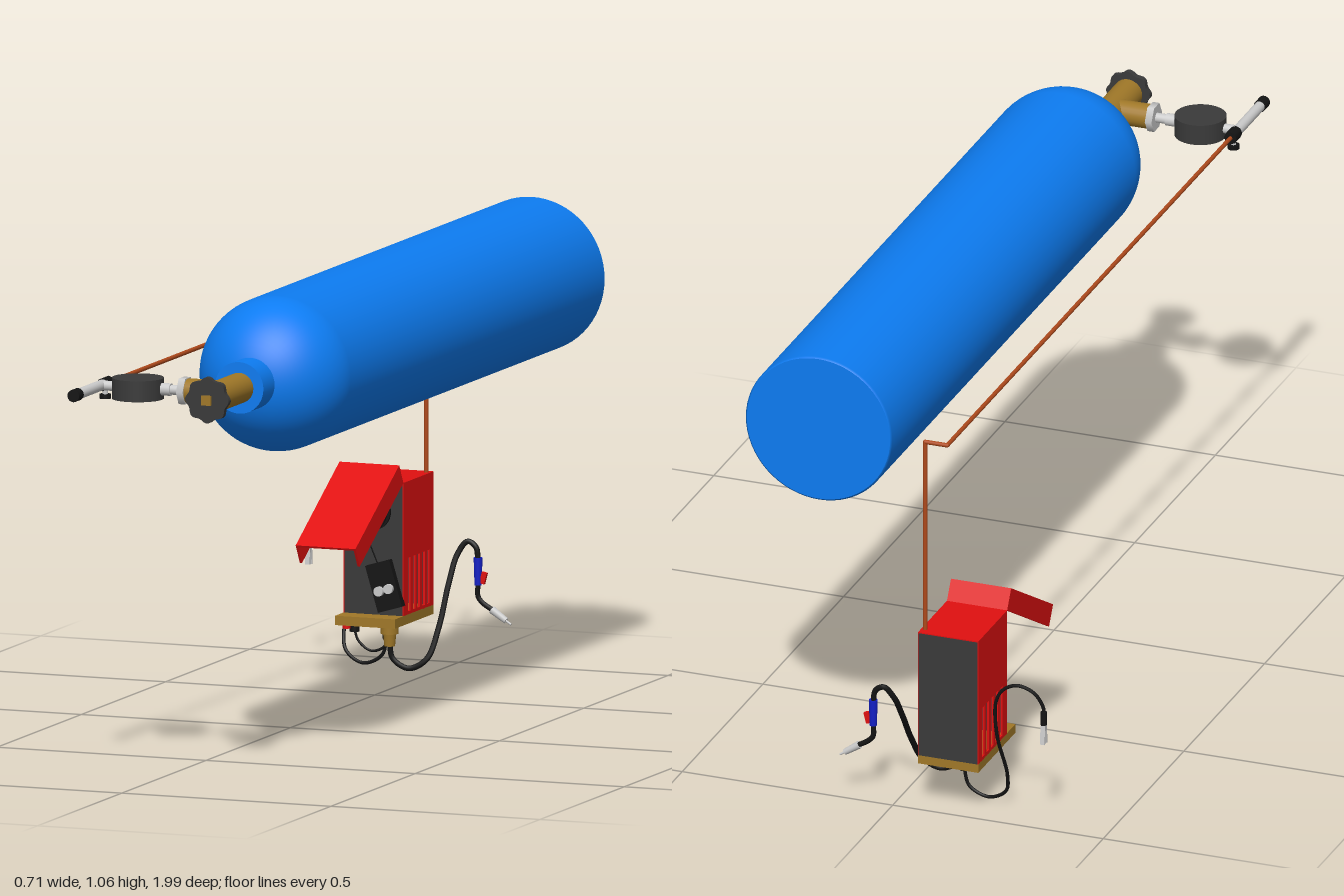
import * as THREE from 'three';

const mat = (color) => new THREE.MeshStandardMaterial({ color });
const M = {
  blue: mat(0x0d7cf2), red: mat(0xe01010), brass: mat(0xa07828), dark: mat(0x3a3a3a),
  black: mat(0x141414), grey: mat(0xcccccc), copper: mat(0xb04a1c), torch: mat(0x1420c8),
};
const V = (p) => new THREE.Vector3(...p);

export function createModel() {
  const model = new THREE.Group();

  const add = (name, geometry, material, pos = [0, 0, 0], parent = model) => {
    const mesh = new THREE.Mesh(geometry, material);
    mesh.name = name;
    mesh.position.set(...pos);
    parent.add(mesh);
    return mesh;
  };
  const box = (name, size, pos, material, parent) =>
    add(name, new THREE.BoxGeometry(...size), material, pos, parent);
  // round bar from a to b
  const rod = (name, a, b, r0, material, r1 = r0, sides = 24) => {
    const d = V(b).sub(V(a));
    const mesh = add(name, new THREE.CylinderGeometry(r1, r0, d.length(), sides), material,
      V(a).add(V(b)).multiplyScalar(0.5).toArray());
    mesh.quaternion.setFromUnitVectors(new THREE.Vector3(0, 1, 0), d.normalize());
    return mesh;
  };
  const hose = (name, pts, r, material, n = 100) =>
    add(name, new THREE.TubeGeometry(new THREE.CatmullRomCurve3(pts.map(V)), n, r, 8), material);

  // gas bottle, lying along z with a domed front
  const TX = 0.18, TY = 0.885;
  const profile = [[0, -0.99], [0.17, -0.99], [0.174, -0.986]].map((p) => new THREE.Vector2(...p));
  for (let i = 0; i <= 16; i++) {
    const a = (i / 16) * 1.3;
    profile.push(new THREE.Vector2(0.174 * Math.cos(a), 0.52 + 0.174 * Math.sin(a)));
  }
  profile.push(new THREE.Vector2(0, 0.69));
  const bottle = new THREE.Group();
  bottle.name = 'gasBottle';
  bottle.position.set(TX, TY, 0);
  model.add(bottle);
  // separate lathes keep the flat base and the round body crisp
  for (const [name, part] of [['bottleBase', profile.slice(0, 2)], ['bottleBody', profile.slice(1)]]) {
    add(name, new THREE.LatheGeometry(part, 64), M.blue, [0, 0, 0], bottle).rotation.x = Math.PI / 2;
  }
  rod('bottleNeck', [TX, TY, 0.66], [TX, TY, 0.75], 0.058, M.blue, 0.058, 40);

  // valve with a lobed handwheel
  rod('valveBody', [TX, TY, 0.74], [TX, TY, 0.93], 0.034, M.brass, 0.034, 32);
  rod('valveOutlet', [0.085, TY, 0.83], [TX, TY, 0.83], 0.028, M.brass);
  rod('valveNut', [0.074, TY, 0.83], [0.09, TY, 0.83], 0.033, M.grey, 0.033, 6);
  const wheel = new THREE.Shape();
  for (let i = 0; i <= 96; i++) {
    const a = (i / 96) * Math.PI * 2, r = 0.049 + 0.003 * Math.cos(8 * a);
    wheel[i ? 'lineTo' : 'moveTo'](r * Math.cos(a), r * Math.sin(a));
  }
  add('handwheel', new THREE.ExtrudeGeometry(wheel, { depth: 0.014, bevelEnabled: false }), M.dark, [TX, TY, 0.928]);
  box('handwheelSpindle', [0.022, 0.022, 0.012], [TX, TY, 0.942], M.brass);

  // regulator: stem, round gauge, outlet tee and flow tube
  rod('regulatorStem', [-0.11, TY, 0.83], [0.08, TY, 0.83], 0.011, M.grey);
  rod('regulatorCollar', [0.028, TY, 0.83], [0.05, TY, 0.83], 0.014, M.grey);
  rod('gauge', [-0.03, 0.861, 0.83], [-0.03, 0.908, 0.83], 0.058, M.dark, 0.058, 40);
  rod('flowTube', [-0.118, TY, 0.81], [-0.118, TY, 0.97], 0.012, M.grey);
  rod('flowTubeCap', [-0.118, TY, 0.967], [-0.118, TY, 0.995], 0.014, M.black);
  rod('outletTee', [-0.118, TY, 0.785], [-0.118, TY, 0.82], 0.015, M.black, 0.015, 8);
  rod('outletScrew', [-0.118, 0.862, 0.805], [-0.118, TY, 0.805], 0.006, M.grey);
  rod('outletKnob', [-0.118, 0.852, 0.805], [-0.118, 0.862, 0.805], 0.013, M.black);

  // gas hose: back along the bottle, across, then down into the cabinet
  const run = [[-0.118, TY, 0.79], [-0.118, TY, -0.97], [-0.066, TY, -0.97], [-0.066, 0.42, -0.97]];
  for (let i = 0; i < 3; i++) rod('gasHose', run[i], run[i + 1], 0.005, M.copper, 0.005, 10);
  for (const p of run.slice(1, 3)) add('gasHoseElbow', new THREE.SphereGeometry(0.005, 10, 8), M.copper, p);

  // cabinet shell with vent slots through both sides
  const CX = -0.128, W = 0.143, T = 0.005;
  const side = new THREE.Shape([[-0.99, 0.128], [-0.811, 0.128], [-0.811, 0.428], [-0.99, 0.428]]
    .map((p) => new THREE.Vector2(...p)));
  for (let i = 0; i < 5; i++) {
    const z = -0.966 + i * 0.028, w = 0.015;
    side.holes.push(new THREE.Path([[z, 0.136], [z, 0.256], [z + w, 0.256], [z + w, 0.136]]
      .map((p) => new THREE.Vector2(...p))));
  }
  for (const x of [CX - W / 2 + T, CX + W / 2]) {
    const panel = add('cabinetSide', new THREE.ExtrudeGeometry(side, { depth: T, bevelEnabled: false }), M.red, [x, 0, 0]);
    panel.rotation.y = -Math.PI / 2;
  }
  box('cabinetTop', [W, T, 0.179], [CX, 0.4255, -0.9005], M.red);
  box('cabinetBack', [W - 0.004, 0.297, T], [CX, 0.277, -0.9885], M.dark);
  box('cabinetFront', [W - 0.004, 0.297, T], [CX, 0.277, -0.8125], M.dark);
  box('cabinetBase', [W, 0.021, 0.23], [CX, 0.1185, -0.875], M.brass);

  // cover swung open on the top front edge
  const cover = new THREE.Group();
  cover.name = 'cover';
  cover.position.set(CX, 0.428, -0.811);
  cover.rotation.x = -Math.PI / 3;
  model.add(cover);
  box('coverFace', [W, 0.3, T], [0, -0.15, 0.0475], M.red, cover);
  box('coverTop', [W, T, 0.05], [0, -T / 2, 0.025], M.red, cover);
  for (const s of [-1, 1]) box('coverSide', [T, 0.3, 0.05], [s * (W - T) / 2, -0.15, 0.025], M.red, cover);

  // wire spool, wire and tilted feed unit on the front panel
  rod('spoolCore', [CX, 0.362, -0.811], [CX, 0.362, -0.775], 0.025, M.grey);
  for (const z of [-0.808, -0.783]) rod('spoolFlange', [CX, 0.362, z], [CX, 0.362, z + 0.006], 0.043, M.black, 0.043, 32);
  rod('wire', [-0.152, 0.34, -0.795], [-0.105, 0.23, -0.795], 0.0015, M.black, 0.0015, 6);
  const feeder = new THREE.Group();
  feeder.name = 'wireFeeder';
  feeder.position.set(-0.097, 0.196, -0.803);
  feeder.rotation.z = 0.29;
  model.add(feeder);
  box('feederBody', [0.06, 0.108, 0.02], [0, 0, 0], M.black, feeder);
  for (const x of [-0.012, 0.012]) {
    add('feedRoller', new THREE.CylinderGeometry(0.011, 0.011, 0.012, 20), M.grey, [x, -0.008, 0.014], feeder).rotation.x = Math.PI / 2;
  }

  // sockets beneath the base
  rod('torchSocket', [-0.085, 0.09, -0.8], [-0.085, 0.115, -0.8], 0.02, M.brass);
  rod('torchSocketTip', [-0.085, 0.062, -0.8], [-0.085, 0.092, -0.8], 0.012, M.brass, 0.015);
  rod('earthSocket', [-0.127, 0.09, -0.89], [-0.127, 0.112, -0.89], 0.018, M.black);
  rod('earthPlug', [-0.127, 0.062, -0.89], [-0.127, 0.092, -0.89], 0.010, M.black, 0.014);
  rod('polaritySocket', [-0.169, 0.09, -0.8], [-0.169, 0.112, -0.8], 0.011, M.black);
  rod('powerSwitch', [-0.178, 0.1, -0.775], [-0.178, 0.112, -0.775], 0.009, M.red);
  hose('polarityCable', [[-0.169, 0.095, -0.8], [-0.16, 0.07, -0.8], [-0.13, 0.049, -0.8], [-0.1, 0.058, -0.8], [-0.088, 0.08, -0.8]], 0.003, M.black, 40);

  // welding torch on its thick hose
  const TZ = -0.982;
  hose('torchHose', [[-0.085, 0.07, -0.8], [-0.078, 0.035, -0.8], [-0.04, 0.014, -0.802], [-0.003, 0.035, -0.815],
    [0.008, 0.1, -0.86], [0.004, 0.19, -0.93], [0.009, 0.25, -0.97], [0.028, 0.277, TZ], [0.048, 0.265, TZ], [0.053, 0.235, TZ]], 0.0065, M.black);
  rod('torchGrip', [0.053, 0.18, TZ], [0.053, 0.242, TZ], 0.008, M.torch, 0.01);
  box('torchTrigger', [0.012, 0.026, 0.008], [0.066, 0.197, TZ], M.red).rotation.z = -0.25;
  hose('torchNeck', [[0.053, 0.185, TZ], [0.053, 0.155, TZ], [0.064, 0.141, TZ], [0.09, 0.125, TZ]], 0.006, M.black, 40);
  rod('torchNozzle', [0.086, 0.127, TZ], [0.12, 0.104, TZ], 0.009, M.grey, 0.007);
  rod('torchTip', [0.118, 0.105, TZ], [0.132, 0.096, TZ], 0.0025, M.grey);

  // earth cable and clamp
  hose('earthCable', [[-0.127, 0.07, -0.89], [-0.14, 0.025, -0.89], [-0.185, 0.005, -0.89], [-0.23, 0.03, -0.9],
    [-0.242, 0.08, -0.92], [-0.236, 0.2, -0.97], [-0.242, 0.29, -0.99], [-0.262, 0.324, -0.994], [-0.295, 0.338, -0.994],
    [-0.332, 0.324, -0.99], [-0.352, 0.29, -0.985], [-0.353, 0.27, -0.985]], 0.004, M.black);
  rod('earthHandle', [-0.353, 0.248, -0.985], [-0.353, 0.28, -0.985], 0.007, M.black);
  for (const s of [-1, 1]) box('clampJaw', [0.011, 0.046, 0.005], [-0.353, 0.226, -0.985 + s * 0.005], M.grey).rotation.x = -s * 0.1;

  return model;
}
